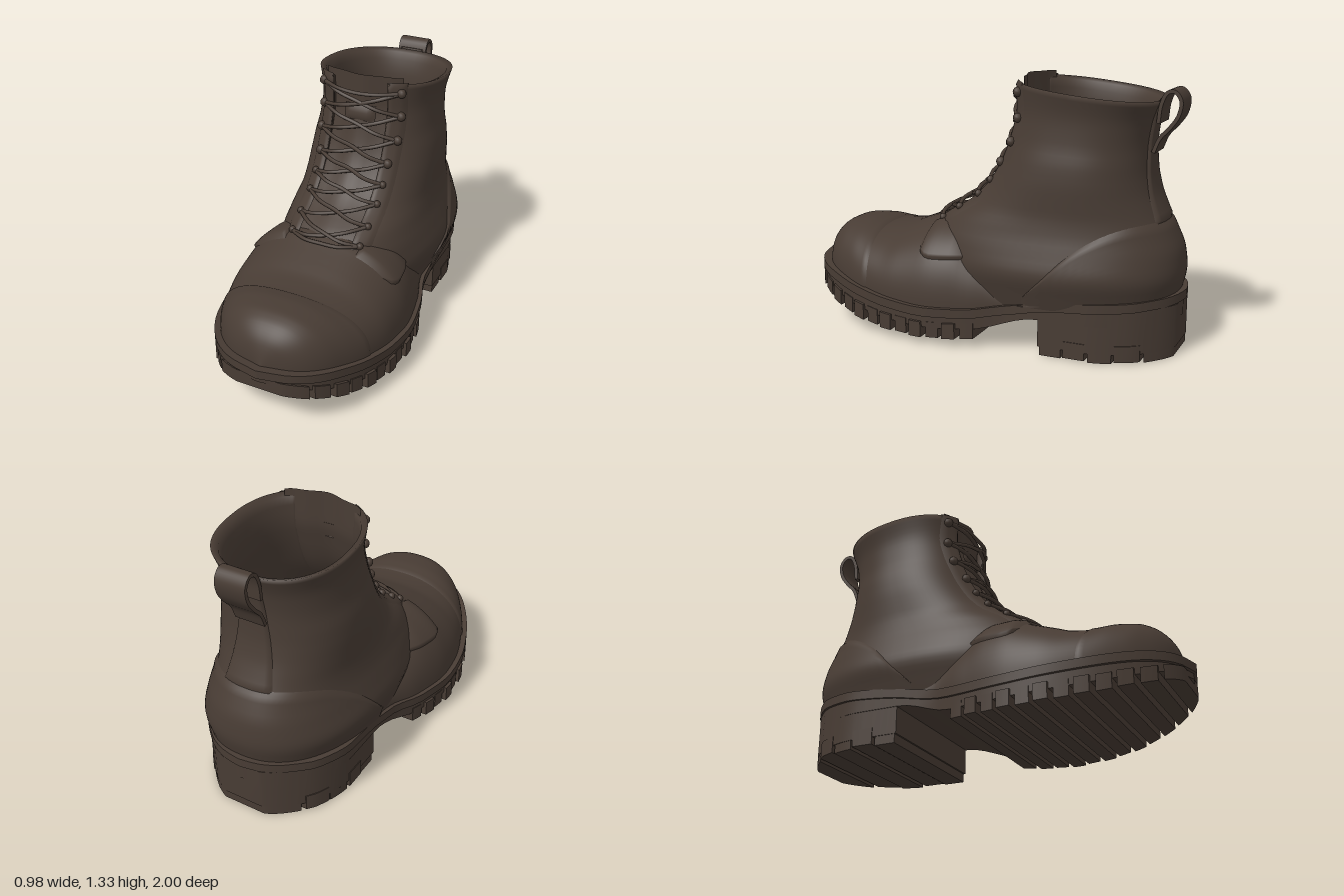
import * as THREE from 'three';
import { toCreasedNormals } from 'three/addons/utils/BufferGeometryUtils.js';

const leather = new THREE.MeshStandardMaterial({ color: 0x483c34, side: THREE.DoubleSide });
leather.name = 'dark brown leather';

// Smooth monotone interpolation through [x, y] points in rising x
function curve(points) {
  const n = points.length;
  const slope = i => (points[i + 1][1] - points[i][1]) / (points[i + 1][0] - points[i][0]);
  const tangent = i => {
    if (i === 0) return slope(0);
    if (i === n - 1) return slope(n - 2);
    const a = slope(i - 1), b = slope(i);
    return a * b <= 0 ? 0 : (2 * a * b) / (a + b);
  };
  return x => {
    if (x <= points[0][0]) return points[0][1];
    if (x >= points[n - 1][0]) return points[n - 1][1];
    let i = 0;
    while (x > points[i + 1][0]) i++;
    const h = points[i + 1][0] - points[i][0], t = (x - points[i][0]) / h;
    const t2 = t * t, t3 = t2 * t;
    return (2 * t3 - 3 * t2 + 1) * points[i][1] + (t3 - 2 * t2 + t) * h * tangent(i)
      + (3 * t2 - 2 * t3) * points[i + 1][1] + (t3 - t2) * h * tangent(i + 1);
  };
}

// Surface over a grid; fn(u, v, onBorder) returns [x, y, z]
function grid(nu, nv, fn) {
  const pos = [], index = [];
  for (let j = 0; j <= nv; j++) for (let i = 0; i <= nu; i++) {
    pos.push(...fn(i / nu, j / nv, i === 0 || j === 0 || i === nu || j === nv));
    if (i < nu && j < nv) {
      const a = j * (nu + 1) + i, b = a + 1, c = a + nu + 1, d = c + 1;
      index.push(a, b, d, a, d, c);
    }
  }
  const g = new THREE.BufferGeometry();
  g.setAttribute('position', new THREE.Float32BufferAttribute(pos, 3));
  g.setIndex(index);
  g.computeVertexNormals();
  return g;
}

// Sole outline and heights along z
const centre = curve([[-1, 0], [-0.2, 0.005], [0.3, 0], [0.7, 0.02], [1, 0.045]]);
const soleHalf = curve([[-1, 0], [-0.985, 0.09], [-0.95, 0.17], [-0.9, 0.235], [-0.8, 0.325], [-0.6, 0.385],
  [-0.4, 0.385], [-0.2, 0.39], [0, 0.45], [0.25, 0.49], [0.4, 0.48], [0.6, 0.43], [0.8, 0.33], [0.9, 0.245], [0.96, 0.15], [1, 0]]);
const weltTop = curve([[-1, 0.31], [-0.6, 0.29], [-0.4, 0.27], [-0.2, 0.23], [0, 0.2], [0.2, 0.195], [0.4, 0.21], [0.6, 0.24], [0.8, 0.28], [1, 0.315]]);
const treadBottom = curve([[-0.05, 0.05], [0.2, 0.04], [0.4, 0.05], [0.6, 0.075], [0.8, 0.125], [1, 0.2]]);
const midBottom = curve([[-1, 0.18], [-0.37, 0.18], [-0.05, 0.1], [0.2, 0.09], [0.4, 0.1], [0.6, 0.125], [0.8, 0.17], [1, 0.24]]);

// Slice of the sole outline between two z values
function slab(zA, zB, top, bottom, scale, n) {
  const loop = [];
  for (const s of [1, -1]) for (let i = 0; i <= n; i++) {
    const k = s > 0 ? i / n : 1 - i / n;
    const z = zA + (zB - zA) * (1 - Math.cos(Math.PI * k)) / 2;
    loop.push([s * soleHalf(z) * scale, z]);
  }
  loop.push(loop[0]);
  const g = grid(loop.length - 1, 3, (u, v) => {
    const [x, z] = loop[Math.round(u * (loop.length - 1))], row = Math.round(v * 3);
    return [centre(z) + (row === 0 || row === 3 ? 0 : x), row < 2 ? top(z) : bottom(z), z * (n > 20 ? 0.5 + scale / 2 : 1)];
  });
  return toCreasedNormals(g, 0.6);
}

// Vamp: arched cross-sections along z
const crown = curve([[-0.4, 0.28], [-0.2, 0.42], [0, 0.55], [0.1, 0.605], [0.2, 0.605], [0.3, 0.572], [0.4, 0.535], [0.5, 0.502],
  [0.6, 0.495], [0.7, 0.51], [0.78, 0.508], [0.84, 0.487], [0.88, 0.455], [0.91, 0.415], [0.93, 0.365], [0.945, 0.3]]);
const BULGE = 0.85;
const vampBase = z => weltTop(z) - 0.02;
function vampPoint(z, a, d = 0) {
  const c = Math.cos(a), s = Math.max(0, Math.sin(a));
  const half = soleHalf(z > 0 ? z / 0.945 : z) * 0.95, base = vampBase(z);
  return [centre(z) + half * Math.sign(c) * Math.abs(c) ** BULGE + d * c,
    base + Math.max(0, crown(z) - base) * s ** BULGE + d * s, z];
}

// Shaft: rounded horizontal rings, tilted near the cuff
const backZ = curve([[0.2, -0.93], [0.3, -0.955], [0.4, -0.975], [0.5, -0.965], [0.6, -0.925], [0.7, -0.875], [0.8, -0.835], [0.9, -0.815], [1, -0.81], [1.1, -0.82], [1.24, -0.865]]);
const frontZ = curve([[0.2, 0.3], [0.4, 0.32], [0.5, 0.33], [0.6, 0.26], [0.7, 0.1], [0.8, -0.01], [0.9, -0.08], [1, -0.12], [1.1, -0.145], [1.24, -0.145]]);
const shaftHalf = curve([[0.2, 0.36], [0.3, 0.39], [0.4, 0.415], [0.5, 0.39], [0.6, 0.36], [0.7, 0.345], [0.8, 0.345], [0.9, 0.337], [1, 0.315], [1.1, 0.308], [1.24, 0.335]]);
const POW = 2.3, CUFF = 1.235;
const tilt = (y, z) => y + 0.11 * (z + 0.87) * THREE.MathUtils.smoothstep(y, 0.7, CUFF);
function shaftPoint(y, a, d = 0) {
  const s = Math.sin(a), c = Math.cos(a), e = 2 / POW;
  const mid = (backZ(y) + frontZ(y)) / 2, r = (frontZ(y) - backZ(y)) / 2;
  const x = 0.01 + (shaftHalf(y) + d) * Math.sign(s) * Math.abs(s) ** e;
  const z = mid + (r + d) * Math.sign(c) * Math.abs(c) ** e;
  return [x, tilt(y, z), z];
}
// Point on the front of the shaft at a given x
function frontPoint(x, y, d = 0) {
  const mid = (backZ(y) + frontZ(y)) / 2, r = (frontZ(y) - backZ(y)) / 2;
  const z = mid + r * (1 - Math.min(1, Math.abs(x - 0.01) / shaftHalf(y)) ** POW) ** (1 / POW) + d;
  return [x, tilt(y, z), z];
}

export function createModel() {
  const boot = new THREE.Group();
  boot.name = 'boot';
  const add = (name, geometry) => {
    const m = new THREE.Mesh(geometry, leather);
    m.name = name;
    boot.add(m);
    return m;
  };

  // Sole layers
  add('welt', slab(-1, 1, weltTop, z => weltTop(z) - 0.045, 1, 48));
  add('midsole', slab(-1, 1, z => weltTop(z) - 0.04, midBottom, 0.97, 48));
  add('heelBlock', slab(-0.98, -0.37, () => 0.26, () => 0.045, 0.96, 16));

  // Tread bars under the forefoot and the heel
  for (let i = 0; i < 12; i++) {
    const z = -0.05 + i * 0.087;
    add('treadBar', slab(z, Math.min(z + 0.064, 0.995), q => midBottom(q) + 0.03, treadBottom, i % 2 ? 1 : 0.975, 4));
  }
  for (let i = 0; i < 5; i++) {
    const z = -0.975 + i * 0.122;
    add('heelTread', slab(z, z + 0.108, () => 0.09, () => (i % 2 ? 0.008 : 0), i % 2 ? 0.97 : 0.95, 5));
  }

  // Vamp and toe cap
  const toward = (a, b, u) => a + (b - a) * Math.sin(u * Math.PI / 2);
  add('vamp', grid(40, 60, (u, v) => vampPoint(toward(-0.4, 0.945, v), u * Math.PI)));
  add('toeCap', grid(40, 28, (u, v, edge) => {
    const a = u * Math.PI, z = toward(0.6 - 0.05 * Math.cos(a) ** 2, 0.945, v);
    const p = vampPoint(z, a, v === 0 ? -0.004 : 0.007);
    p[2] += edge && v === 0 ? 0 : 0.007 * v;
    return p;
  }));

  // Lace flaps overlapping the vamp
  const flapLow = curve([[-0.36, 0.25], [-0.28, 0.28], [-0.15, 0.39], [-0.05, 0.43], [0.2, 0.42], [0.25, 0.435], [0.28, 0.48]]);
  for (const side of [1, -1]) {
    add('laceFlap', grid(20, 24, (u, v, edge) => {
      const z = -0.34 + 0.62 * v, base = vampBase(z);
      const f = THREE.MathUtils.clamp((flapLow(z) - base) / (crown(z) - base), 0, 0.98);
      const low = Math.asin(f ** (1 / BULGE));
      const a = low + (Math.max(low, 1.2) - low) * u;
      return vampPoint(z, side > 0 ? a : Math.PI - a, edge ? -0.004 : 0.014);
    }));
  }

  // Shaft: outer wall, rolled cuff and inner wall, open at the front
  add('shaft', grid(72, 64, (u, v) => {
    const outer = v <= 0.6, k = outer ? v / 0.6 : 1 - (v - 0.6) / 0.4;
    const y = 0.2 + (CUFF - 0.2) * k;
    const gap = Math.asin(Math.min(1, (0.15 / shaftHalf(y)) ** (POW / 2)));
    const inset = outer || u === 0 || u === 1 ? 0 : -0.028;
    return shaftPoint(y, gap + (2 * Math.PI - 2 * gap) * u, inset);
  }));

  // Facing strips beside the opening
  for (const side of [1, -1]) {
    add('eyeletFacing', grid(6, 30, (u, v, edge) =>
      frontPoint(0.01 + side * (0.148 + 0.09 * u), 0.56 + 0.67 * v, edge ? -0.003 : 0.01)));
  }

  // Tongue, with a small lace keeper
  add('tongue', grid(14, 30, (u, v) => {
    const x = (u - 0.5) * 0.42;
    return frontPoint(x + 0.01, 0.54 + 0.71 * v, -0.035 + 0.008 * Math.cos(x * 30));
  }));
  add('laceKeeper', grid(8, 4, (u, v, edge) =>
    frontPoint(0.01 + (u - 0.5) * 0.17, 1.03 + 0.07 * v, edge ? -0.03 : -0.016)));

  // Heel counter and back strip
  add('heelCounter', grid(48, 16, (u, v, edge) => {
    const t = 2 * u - 1, top = 0.27 + 0.395 * (1 - Math.abs(t) ** 4.5);
    return shaftPoint(0.24 + (top - 0.24) * v, Math.PI + t * 1.62, edge && v > 0 ? -0.004 : 0.012);
  }));
  add('backStrip', grid(12, 24, (u, v, edge) =>
    shaftPoint(0.64 + (CUFF - 0.64) * v, Math.PI + (2 * u - 1) * (0.16 + 0.2 * (1 - v) ** 2), edge ? -0.004 : 0.012)));

  // Pull loop: a strap bent over the back of the cuff
  const loop = new THREE.CatmullRomCurve3([[-0.85, 1.12], [-0.862, 1.21], [-0.89, 1.265], [-0.925, 1.27], [-0.955, 1.23],
    [-0.945, 1.16], [-0.905, 1.1], [-0.86, 1.05], [-0.83, 0.98]].map(([z, y]) => new THREE.Vector3(z, y, 0)));
  const edgeOf = d => loop.getPoints(40).map((p, i) => {
    const t = loop.getTangent(i / 40);
    return new THREE.Vector2(p.x - t.y * d, p.y + t.x * d);
  });
  const strap = new THREE.ExtrudeGeometry(new THREE.Shape([...edgeOf(0.009), ...edgeOf(-0.009).reverse()]), { depth: 0.16, bevelEnabled: false });
  strap.rotateY(-Math.PI / 2).translate(0.085, 0, 0);
  add('pullLoop', toCreasedNormals(strap, 0.7));

  // Eyelets, hooks and crossing laces
  const rows = [0.59, 0.655, 0.73, 0.8, 0.88, 0.97, 1.07, 1.18];
  const anchor = (side, i, d) => new THREE.Vector3(...frontPoint(0.01 + side * (i > 4 ? 0.215 : 0.19), rows[i], d));
  const lace = (name, a, b, rise) => {
    const m = a.clone().lerp(b, 0.5);
    m.z = frontPoint(0.01, Math.min(1.2, (a.y + b.y) / 2))[2] + 0.012;
    m.y += rise;
    add(name, new THREE.TubeGeometry(new THREE.CatmullRomCurve3([a, a.clone().lerp(m, 0.5).add(new THREE.Vector3(0, 0, 0.022)), m,
      b.clone().lerp(m, 0.5).add(new THREE.Vector3(0, 0, 0.022)), b]), 20, 0.0105, 6));
  };
  rows.forEach((y, i) => {
    for (const side of [1, -1]) {
      const stud = add(i > 3 ? 'laceHook' : 'eyelet', new THREE.SphereGeometry(i > 3 ? 0.024 : 0.019, 10, 8));
      stud.position.copy(anchor(side, i, 0.016));
      if (i < rows.length - 1) lace('lace', anchor(side, i, 0.02), anchor(-side, i + 1, 0.02), side * 0.008);
    }
  });
  lace('lowerLaceBar', anchor(1, 0, 0.02), anchor(-1, 0, 0.02), 0);
  lace('upperLaceBar', anchor(1, rows.length - 1, 0.02), anchor(-1, rows.length - 1, 0.02), -0.012);

  return boot;
}
